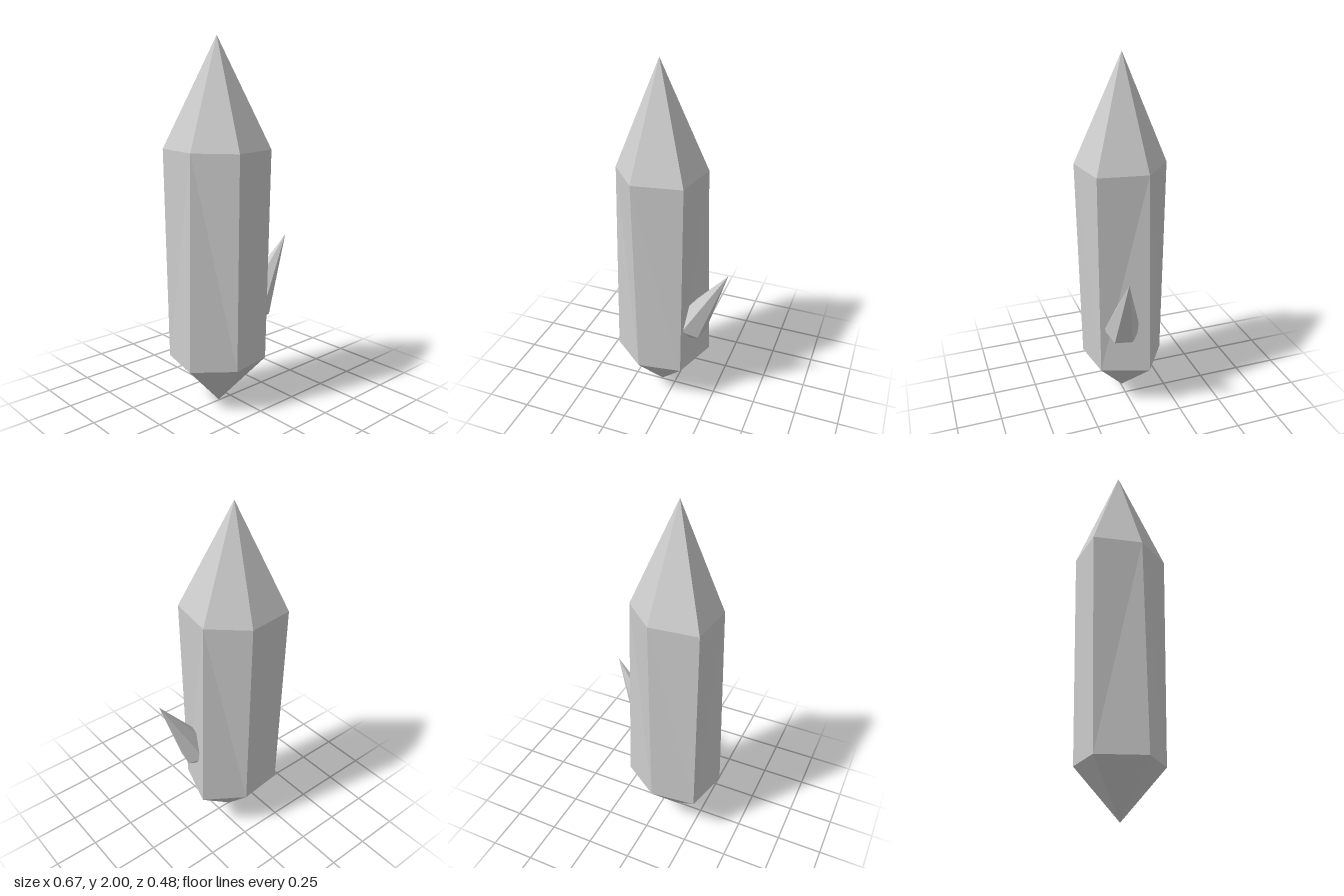
import * as THREE from 'three';

const stone = new THREE.MeshStandardMaterial({ color: 0xcccccc });
stone.name = 'pale grey stone';

// Six-sided crystal closed from two rings and two tips, with flat facets
function crystalGeometry(upper, lower, top, bottom) {
  const pos = [];
  const tri = (...corners) => corners.forEach((c) => pos.push(...c));
  const n = upper.length;
  for (let i = 0; i < n; i++) {
    const j = (i + 1) % n;
    tri(upper[j], upper[i], top);
    tri(lower[i], lower[j], bottom);
    // The long facets fold away from the first and fourth upper corners
    if (i % 3 === 0) {
      tri(upper[i], upper[j], lower[j]);
      tri(upper[i], lower[j], lower[i]);
    } else {
      tri(upper[i], upper[j], lower[i]);
      tri(upper[j], lower[j], lower[i]);
    }
  }
  const g = new THREE.BufferGeometry();
  g.setAttribute('position', new THREE.Float32BufferAttribute(pos, 3));
  g.computeVertexNormals();
  return g;
}

const ring = (y, points) => points.map(([x, z]) => [x, y, z]);

export function createModel() {
  const model = new THREE.Group();
  model.name = 'crystal';

  // Large upright crystal, slightly wider near the foot
  const upper = ring(1.425, [[0.16, -0.075], [0.117, 0.191], [-0.148, 0.237],
    [-0.31, 0.05], [-0.285, -0.213], [-0.021, -0.239]]);
  const lower = ring(0.265, [[0.188, -0.082], [0.1, 0.18], [-0.143, 0.217],
    [-0.338, 0.058], [-0.278, -0.197], [-0.024, -0.225]]);
  const main = new THREE.Mesh(
    crystalGeometry(upper, lower, [-0.083, 2, -0.01], [-0.083, 0, -0.005]), stone);
  main.name = 'mainCrystal';
  model.add(main);

  // Small pointed crystal growing out of the left side
  const base = new THREE.Vector3(0.118, 0.53, 0.06);
  const axis = new THREE.Vector3(0.335, 0.92, 0.095).sub(base);
  const length = axis.length();
  axis.normalize();
  const out = new THREE.Vector3(0.196, 0, -0.98).cross(axis).normalize();
  const side = out.clone().cross(axis);
  const profile = [[0, -0.16], [0.1, 0], [0, length]].map(([r, y]) => new THREE.Vector2(r, y));
  const shardGeometry = new THREE.LatheGeometry(profile, 6).toNonIndexed();
  shardGeometry.computeVertexNormals();
  shardGeometry.applyMatrix4(new THREE.Matrix4().makeBasis(out, axis, side).setPosition(base));
  const shard = new THREE.Mesh(shardGeometry, stone);
  shard.name = 'sideShard';
  model.add(shard);

  return model;
}
